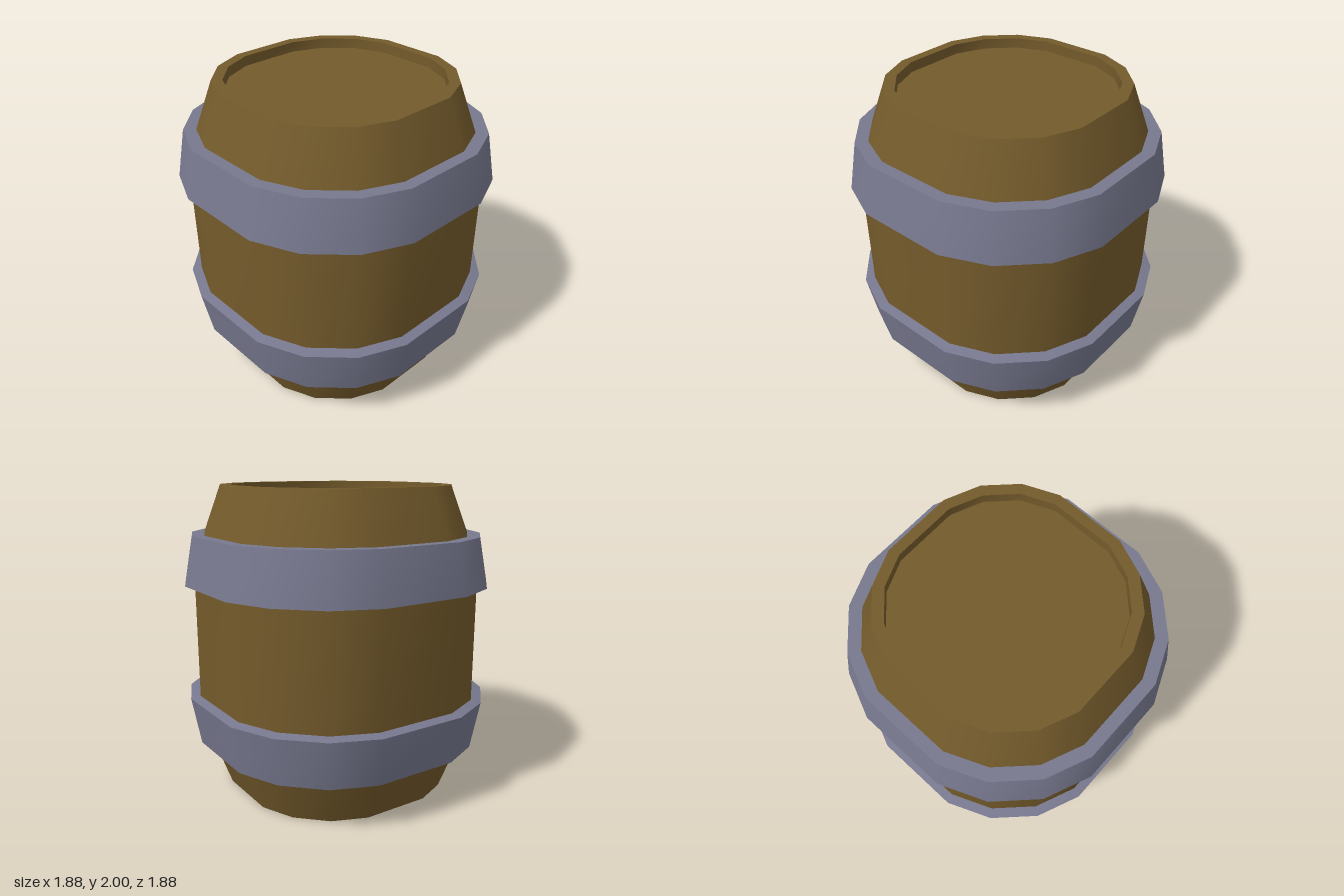
import * as THREE from 'three';

// Twelve-sided outline (unit half-width): one quarter, turned four times
const quarter = [[1, 0.318], [0.87, 0.626], [0.626, 0.87], [0.318, 1]];
const outline = [];
for (let k = 0; k < 4; k++) {
  for (let [x, z] of quarter) {
    for (let i = 0; i < k; i++) [x, z] = [-z, x];
    outline.push([x, z]);
  }
}
// drop none: the wide flats lie on the axes, narrow ones between
const N = outline.length;

// Sweeps a [half-width, y] profile round the outline: smooth around, sharp between sections
function sweep(profile) {
  const positions = [], index = [];
  for (let s = 0; s < profile.length - 1; s++) {
    const base = positions.length / 3;
    const [lower, upper] = [profile[s], profile[s + 1]];
    for (const [r, y] of [lower, upper]) {
      for (const [x, z] of outline) positions.push(x * r, y, z * r);
    }
    for (let i = 0; i < N; i++) {
      const j = (i + 1) % N;
      const a = base + i, b = base + j, c = a + N, d = b + N;
      if (lower[0] > 0) index.push(a, c, b);
      if (upper[0] > 0) index.push(b, c, d);
    }
  }
  const geometry = new THREE.BufferGeometry();
  geometry.setAttribute('position', new THREE.Float32BufferAttribute(positions, 3));
  geometry.setIndex(index);
  geometry.computeVertexNormals();
  return geometry;
}

// Mirrors a profile about mid-height, keeping its direction of travel
const mirror = (profile) => profile.map(([r, y]) => [r, 2 - y]).reverse();

export function createModel() {
  const group = new THREE.Group();
  const wood = new THREE.MeshStandardMaterial({ color: 0x735a2b });
  const iron = new THREE.MeshStandardMaterial({ color: 0x77788e });

  const add = (name, profile, material) => {
    const mesh = new THREE.Mesh(sweep(profile), material);
    mesh.name = name;
    group.add(mesh);
  };

  // Wooden body: recessed head, rim, tapered end, straight middle, then the same mirrored
  const half = [[0, 0.065], [0.635, 0.065], [0.635, 0], [0.7, 0], [0.88, 0.51]];
  add('barrelBody', [...half, ...mirror(half)], wood);

  // Iron hoops: closed profile, flaring towards the middle
  const hoop = [[0.8, 0.31], [0.885, 0.31], [0.94, 0.625], [0.875, 0.64], [0.8, 0.31]];
  add('lowerHoop', hoop, iron);
  add('upperHoop', mirror(hoop), iron);

  return group;
}
